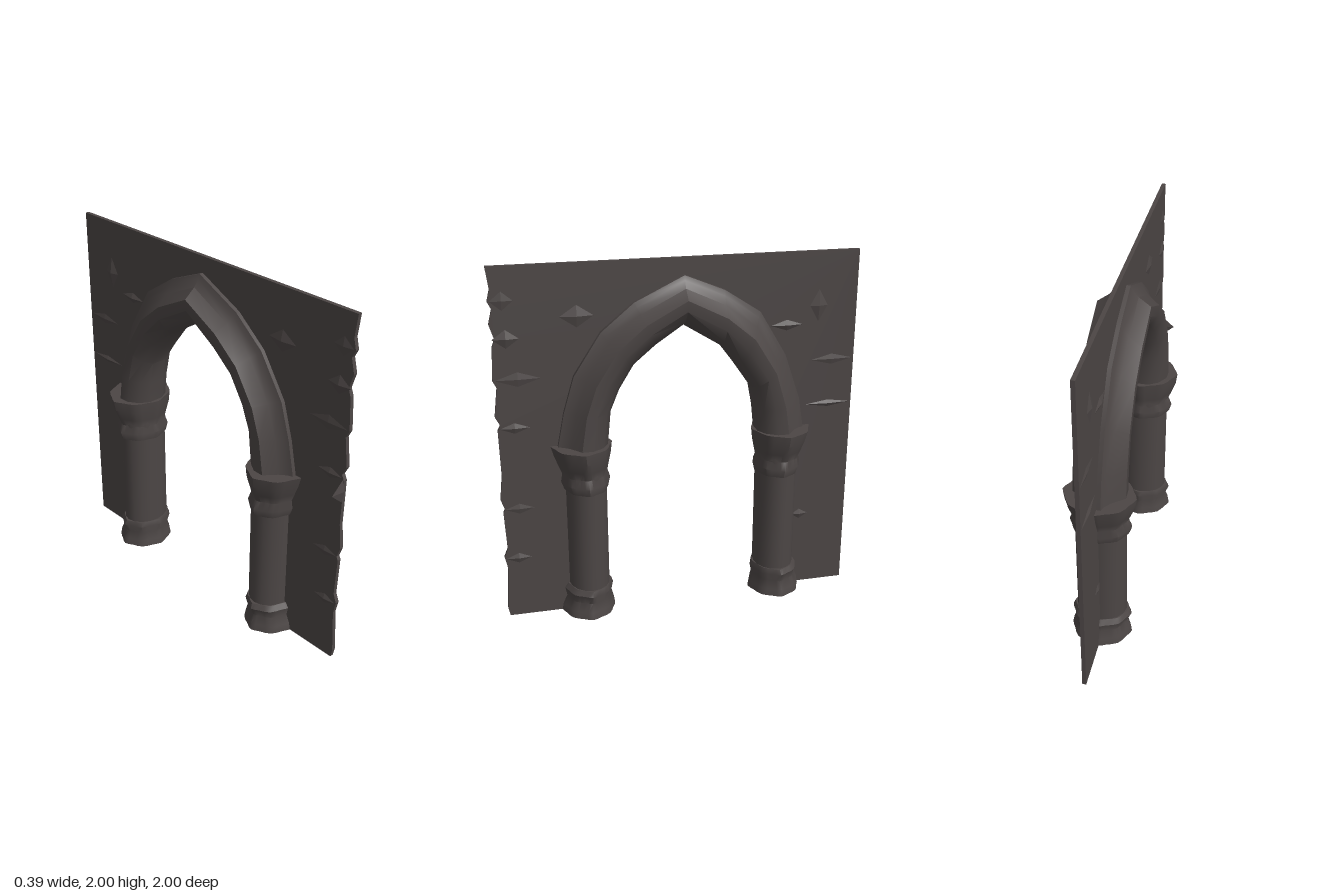
import * as THREE from 'three';
import { toCreasedNormals } from 'three/addons/utils/BufferGeometryUtils.js';

const stone = new THREE.MeshStandardMaterial({ color: 0x4c4645 });
stone.name = 'dark stone';

// Skin a list of closed rings, running along the path, and cap both ends
function loft(rings, crease) {
  const n = rings[0].length, pos = [], idx = [];
  rings.forEach(r => r.forEach(p => pos.push(...p)));
  for (let i = 0; i < rings.length - 1; i++) {
    for (let j = 0; j < n; j++) {
      const k = (j + 1) % n, a = i * n + j, b = i * n + k;
      idx.push(a, b, b + n, a, b + n, a + n);
    }
  }
  [0, rings.length - 1].forEach(i => {
    const c = pos.length / 3;
    for (let q = 0; q < 3; q++) pos.push(rings[i].reduce((s, p) => s + p[q], 0) / n);
    for (let j = 0; j < n; j++) {
      const a = i * n + j, b = i * n + (j + 1) % n;
      idx.push(...(i ? [a, b, c] : [b, a, c]));
    }
  });
  const g = new THREE.BufferGeometry();
  g.setAttribute('position', new THREE.Float32BufferAttribute(pos, 3));
  g.setIndex(idx);
  return toCreasedNormals(g, crease);
}

// Horizontal ring: power above 1 pulls the oval towards a diamond, ripple adds lobes
function ring(y, zc, rx, rz, n, power = 1, ripple = 0) {
  const f = v => Math.sign(v) * Math.abs(v) ** power;
  return Array.from({ length: n }, (_, j) => {
    const a = j / n * Math.PI * 2, k = 1 - ripple * (1 - Math.cos(8 * a));
    return [rx * k * f(Math.sin(a)), y, zc + rz * k * f(Math.cos(a))];
  });
}

function add(parent, geometry, name) {
  const m = new THREE.Mesh(geometry, stone);
  m.name = name;
  parent.add(m);
  return m;
}

// Pairs of inner and outer arch points: [z, y, z, y]
const ARCH = [
  [0.41, 1.0, 0.68, 1.0], [0.39, 1.2, 0.64, 1.2], [0.34, 1.32, 0.58, 1.4],
  [0.26, 1.45, 0.43, 1.63], [0.14, 1.55, 0.25, 1.78], [-0.01, 1.65, -0.02, 1.91],
  [-0.22, 1.52, -0.24, 1.82], [-0.31, 1.4, -0.44, 1.69], [-0.40, 1.27, -0.59, 1.44],
  [-0.425, 1.14, -0.68, 1.18], [-0.44, 1.0, -0.71, 1.0],
];

// Moulding section: [position from inner to outer, half width]
const MOULD = [[1, 0.035], [0.9, 0.045], [0.76, 0.075], [0.57, 0.14], [0.34, 0.138], [0.12, 0.1], [0, 0.045]];

function archGeometry() {
  const section = [...MOULD, ...MOULD.map(([t, x]) => [t, -x]).reverse()];
  return loft(ARCH.map(([iz, iy, oz, oy]) => section.map(([t, x]) =>
    [x, iy + (oy - iy) * t, iz + (oz - iz) * t])), 0.6);
}

// Ring profiles: [y, half width in x, half width in z, z shift away from the opening]
const BASE = [[0, 0.172, 0.155, 0.01], [0.04, 0.165, 0.148, 0.01], [0.09, 0.148, 0.13, 0.005],
  [0.14, 0.168, 0.14, 0.005], [0.17, 0.155, 0.125, 0]];
const CAPITAL = [[0.755, 0.155, 0.125, 0], [0.8, 0.168, 0.138, 0.003], [0.845, 0.148, 0.127, 0.006],
  [0.89, 0.165, 0.14, 0.01], [0.95, 0.188, 0.158, 0.015], [1.01, 0.195, 0.17, 0.02]];

function pillar(name, zc) {
  const g = new THREE.Group(), s = Math.sign(zc);
  g.name = name;
  const carved = profile => loft(profile.map(([y, rx, rz, dz]) =>
    ring(y, zc + s * dz, rx, rz, 32, 1.12, 0.03)), 0.7);
  add(g, carved(BASE), 'pillarBase');
  add(g, loft([0.1, 0.9].map(y => ring(y, zc, 0.14, 0.115, 16)), 0.7), 'pillarShaft');
  add(g, carved(CAPITAL), 'capital');
  return g;
}

// Thin wall, cut out along the arch and broken along one edge
function wallGeometry() {
  const mid = ARCH.map(([iz, iy, oz, oy]) => [(iz + oz) / 2, (iy + oy) / 2]).reverse();
  const broken = [[0.99, 0], [1, 0.05], [0.985, 0.3], [1, 0.37], [0.98, 0.42], [0.99, 0.64], [0.98, 0.66],
    [1, 0.72], [0.985, 0.86], [0.99, 1.12], [0.975, 1.15], [1, 1.2], [0.98, 1.36], [1, 1.4], [0.99, 1.58],
    [0.975, 1.62], [1, 1.7], [0.98, 1.78], [1, 1.82], [0.985, 1.88], [1, 2]];
  const outline = [[-1, 0], [-0.565, 0], ...mid, [0.53, 0], ...broken, [-1, 2]];
  const shape = new THREE.Shape(outline.map(p => new THREE.Vector2(...p)));
  const g = new THREE.ExtrudeGeometry(shape, { depth: 0.022, bevelEnabled: false });
  return g.rotateY(-Math.PI / 2).translate(0.009, 0, 0);
}

// Shallow faceted chips in the masonry: [z, y, half length, half height]
const CHIPS = [[0.87, 1.4, 0.12, 0.04], [0.9, 1.13, 0.08, 0.03], [0.92, 1.62, 0.07, 0.05], [0.9, 0.66, 0.08, 0.03],
  [0.92, 0.36, 0.07, 0.03], [0.55, 1.72, 0.09, 0.06], [0.93, 1.82, 0.06, 0.05], [-0.86, 1.13, 0.13, 0.02],
  [-0.78, 1.7, 0.05, 0.09], [-0.87, 1.39, 0.12, 0.03], [-0.72, 0.45, 0.05, 0.03], [-0.6, 1.6, 0.09, 0.03]];

function chipGeometry(halfLength, halfHeight, rise, side) {
  let g = new THREE.ConeGeometry(1, 1, 4, 1, true).translate(0, 0.5, 0);
  g = g.rotateZ(-side * Math.PI / 2).scale(rise, halfHeight, halfLength).toNonIndexed();
  g.computeVertexNormals();
  return g;
}

export function createModel() {
  const model = new THREE.Group();
  model.name = 'archway';
  add(model, wallGeometry(), 'wall');
  add(model, archGeometry(), 'pointedArch');
  model.add(pillar('frontPillar', 0.53), pillar('backPillar', -0.565));

  const chips = new THREE.Group();
  chips.name = 'masonryChips';
  for (const side of [1, -1]) {
    CHIPS.forEach(([z, y, l, h], i) => {
      const chip = add(chips, chipGeometry(l, h, 0.007 + 0.003 * (i % 3), side), 'chip');
      chip.position.set(side > 0 ? 0.009 : -0.013, y, z);
    });
  }
  model.add(chips);

  // Loose shard sticking out of the broken edge
  add(model, chipGeometry(0.012, 0.07, 0.08, -1), 'edgeShard').position.set(-0.01, 1.06, 0.985);
  return model;
}
